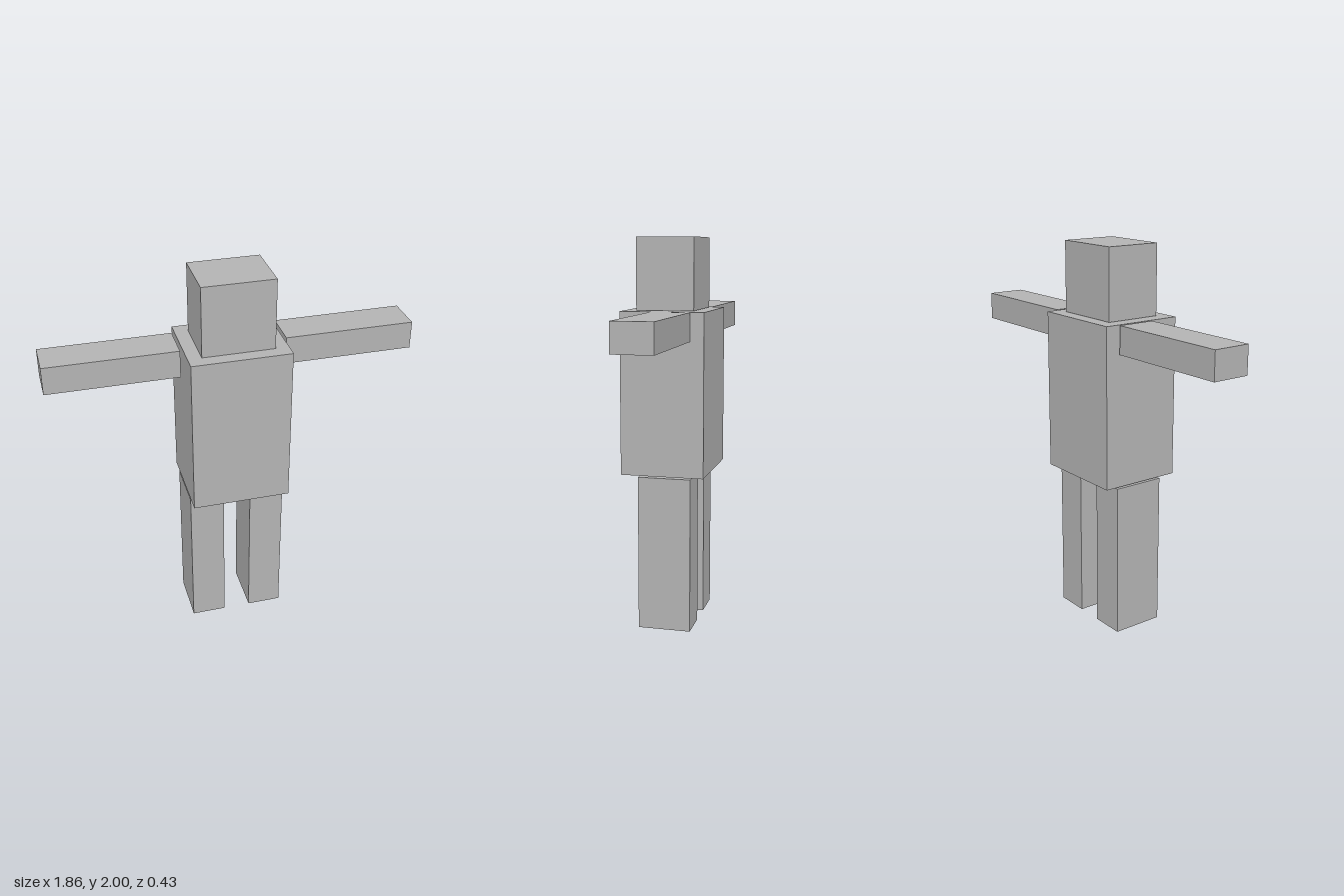
import * as THREE from 'three';

export function createModel() {
  const model = new THREE.Group();
  model.name = 'blockFigure';

  const grey = new THREE.MeshStandardMaterial({ color: 0xb3b3b3 });
  grey.name = 'plain grey';

  // Box given by its lower and upper limits on each axis
  function block(name, [x0, x1], [y0, y1], [z0, z1]) {
    const mesh = new THREE.Mesh(new THREE.BoxGeometry(x1 - x0, y1 - y0, z1 - z0), grey);
    mesh.name = name;
    mesh.position.set((x0 + x1) / 2, (y0 + y1) / 2, (z0 + z1) / 2);
    model.add(mesh);
  }

  // Head and body
  block('head', [-0.183, 0.183], [1.639, 2], [-0.147, 0.147]);
  block('torso', [-0.252, 0.252], [0.81, 1.637], [-0.214, 0.214]);

  // Arms stretched out sideways, set towards the back
  block('leftArm', [0.267, 0.932], [1.494, 1.637], [-0.147, 0.051]);
  block('rightArm', [-0.932, -0.267], [1.494, 1.637], [-0.147, 0.051]);

  // Legs, just clear of the torso
  block('leftLeg', [0.069, 0.247], [0, 0.801], [-0.146, 0.126]);
  block('rightLeg', [-0.252, -0.073], [0, 0.801], [-0.146, 0.126]);

  return model;
}
